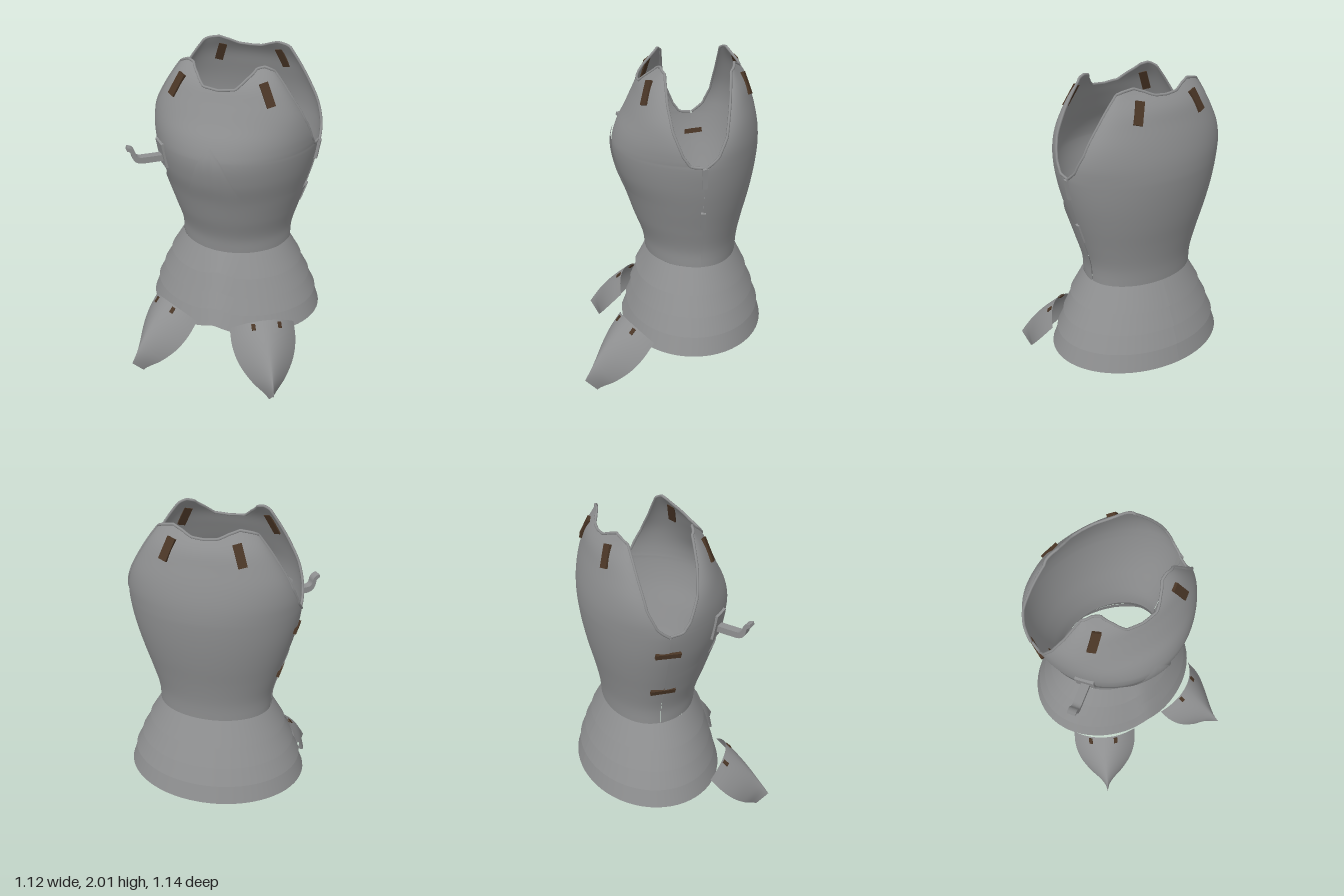
import * as THREE from 'three';

const steel = new THREE.MeshStandardMaterial({ color: 0x8e8f90, side: THREE.DoubleSide });
steel.name = 'steel';
const leather = new THREE.MeshStandardMaterial({ color: 0x4a3626 });
leather.name = 'brown leather';

const HALF = Math.PI / 2;
const clamp = THREE.MathUtils.clamp;
const lerp = THREE.MathUtils.lerp;

// Piecewise linear lookup through [t, value] pairs
function linear(pts) {
  return (t) => {
    if (t <= pts[0][0]) return pts[0][1];
    for (let i = 1; i < pts.length; i++) {
      const [a, va] = pts[i - 1], [b, vb] = pts[i];
      if (t <= b) return lerp(va, vb, (t - a) / (b - a));
    }
    return pts[pts.length - 1][1];
  };
}

// Torso sections: y, half width, front z, back z, front centre z, back centre z
const sections = [
  [0.80, 0.34, 0.165, -0.385, -0.15, -0.15],
  [0.90, 0.345, 0.18, -0.392, -0.15, -0.15],
  [1.05, 0.386, 0.235, -0.42, -0.15, -0.15],
  [1.20, 0.433, 0.285, -0.455, -0.15, -0.15],
  [1.35, 0.474, 0.342, -0.482, -0.15, -0.15],
  [1.50, 0.498, 0.366, -0.497, -0.145, -0.155],
  [1.60, 0.486, 0.34, -0.493, -0.08, -0.2],
  [1.70, 0.447, 0.288, -0.475, 0, -0.25],
  [1.80, 0.39, 0.24, -0.447, 0.04, -0.28],
  [1.90, 0.325, 0.19, -0.412, 0.052, -0.295],
  [2.00, 0.25, 0.09, -0.335, 0.06, -0.305],
];
const profile = new THREE.CubicInterpolant(
  sections.map((s) => s[0]), sections.flatMap((s) => s.slice(1)), 5, new Float32Array(5));

// Side edges of the plates, forming the armholes above y = 1.5
const frontEdge = linear([[1.497, -0.15], [1.507, -0.07], [1.56, -0.03], [1.69, 0.024], [1.82, 0.05], [2, 0.062]]);
const backEdge = linear([[1.497, -0.15], [1.507, -0.167], [1.55, -0.22], [1.66, -0.268], [1.82, -0.29], [2, -0.306]]);
// Upper edges, by angle from the centre line
const frontNeck = linear([[0, 1.87], [0.28, 1.88], [0.5, 1.93], [0.8, 1.98], [1.1, 1.99], [1.57, 1.965]]);
const backNeck = linear([[0, 1.95], [0.25, 1.955], [0.5, 1.98], [0.8, 2], [1.2, 1.99], [1.57, 1.975]]);
const waistTop = linear([[0, 1.585], [0.12, 1.52], [0.22, 1.4], [0.33, 1.28], [0.45, 1.24],
  [0.8, 1.235], [1.1, 1.22], [1.57, 1.185]]);

// Torso surface: u runs -1..1 from side edge to side edge
function torso(front, off) {
  return (u, y) => {
    const [w, f, b, cf, cb] = profile.evaluate(clamp(y, 0.8, 2));
    const c = front ? cf : cb;
    const d = front ? f + off : b - off;
    const e = front ? frontEdge(y) : backEdge(y);
    const a = u * Math.acos(clamp((e - c) / (d - c), 0, 1));
    return new THREE.Vector3((w + off) * Math.sin(a), y, c + (d - c) * Math.cos(a));
  };
}

// Grid surface from fn(u, v) over lists of u and v
function sheet(us, vs, fn) {
  const pos = [], idx = [], n = us.length;
  vs.forEach((v) => us.forEach((u) => pos.push(...fn(u, v).toArray())));
  for (let j = 0; j < vs.length - 1; j++) {
    for (let i = 0; i < n - 1; i++) {
      const a = j * n + i;
      idx.push(a, a + 1, a + n, a + 1, a + n + 1, a + n);
    }
  }
  const g = new THREE.BufferGeometry();
  g.setAttribute('position', new THREE.Float32BufferAttribute(pos, 3));
  g.setIndex(idx);
  g.computeVertexNormals();
  return g;
}

const range = (a, b, n) => Array.from({ length: n + 1 }, (_, i) => lerp(a, b, i / n));

export function createModel() {
  const model = new THREE.Group();
  const add = (name, geometry, material, parent = model) => {
    const m = new THREE.Mesh(geometry, material);
    m.name = name;
    parent.add(m);
    return m;
  };

  // Small block lying on a surface fn(u, v)
  const patch = (name, fn, u, v, size, material, tilt = 0) => {
    const e = 0.01;
    const du = fn(u + e, v).sub(fn(u - e, v));
    const dv = fn(u, v + e).sub(fn(u, v - e)).normalize();
    const n = du.cross(dv).normalize();
    const m = add(name, new THREE.BoxGeometry(...size), material);
    m.quaternion.setFromRotationMatrix(
      new THREE.Matrix4().makeBasis(new THREE.Vector3().crossVectors(dv, n), dv, n));
    m.rotateZ(tilt);
    m.position.copy(fn(u, v));
    return m;
  };

  // Breastplate and backplate with thin rolled rims
  const cols = range(-1, 1, 56);
  const upperRows = [1.497, 1.507, 1.53, ...range(1.56, 2, 16)];
  const makePlate = (name, front, off, bottom, neck) => {
    const surf = torso(front, off);
    const point = (u, y) => {
      const top = neck(Math.abs(u) * HALF);
      return surf(u, y < 1.56 ? y : 1.56 + (y - 1.56) * (top - 1.56) / 0.44);
    };
    add(name, sheet(cols, [...range(bottom, 1.48, 16), ...upperRows], point), steel);
    const rim = [
      ...upperRows.map((y) => point(-1, y)),
      ...cols.slice(1, -1).map((u) => point(u, 2)),
      ...upperRows.slice().reverse().map((y) => point(1, y)),
    ];
    add(name + 'Rim', new THREE.TubeGeometry(new THREE.CatmullRomCurve3(rim), 160, 0.008, 6), steel);
    return surf;
  };
  const breast = makePlate('breastplate', true, 0, 1.12, frontNeck);
  const back = makePlate('backplate', false, 0.006, 0.8, backNeck);

  // Pointed waist plate overlapping the breastplate
  const waist = torso(true, 0.011);
  add('waistPlate', sheet(range(-1, 1, 80), range(0, 1, 24),
    (u, v) => waist(u, lerp(0.8, waistTop(Math.abs(u) * HALF), v))), steel);

  // Skirt of four overlapping lames: [y, half width, front z, back z] at top and bottom
  const lames = [
    [[0.80, 0.342, 0.168, -0.39], [0.65, 0.43, 0.24, -0.465]],
    [[0.68, 0.402, 0.215, -0.438], [0.53, 0.485, 0.275, -0.51]],
    [[0.56, 0.46, 0.248, -0.485], [0.42, 0.53, 0.305, -0.545]],
    [[0.45, 0.508, 0.283, -0.528], [0.305, 0.56, 0.335, -0.568]],
  ];
  lames.forEach(([top, bottom], i) => {
    add('skirtLame' + (i + 1), sheet(range(-Math.PI, Math.PI, 64), range(0, 1, 4), (a, v) => {
      const [y, w, f, b] = top.map((t, k) => lerp(t, bottom[k], v));
      const x = w * Math.sin(a);
      const peak = Math.cos(a) > 0 ? 0.033 * Math.max(0, 1 - Math.abs(x) / 0.13) : 0;
      return new THREE.Vector3(x, y + peak * v, (f + b) / 2 + (f - b) / 2 * Math.cos(a));
    }), steel);
  });

  // Leaf-shaped thigh guards, arched at the top and folded to a ridge at the tip
  const halfWidth = new THREE.SplineCurve([[0, 0.206], [0.25, 0.203], [0.5, 0.172], [0.75, 0.105], [1, 0.012]]
    .map((p) => new THREE.Vector2(...p)));
  const sin = Math.sin(0.506), cos = Math.cos(0.506);
  [1, -1].forEach((side) => {
    const guard = (q, t) => {
      const bulge = 1 - Math.pow(Math.abs(q), lerp(2.1, 1.1, clamp(t, 0, 1)));
      const belly = 0.015 * Math.sin(Math.PI * t);
      const s = 0.3 * t + (0.075 + belly) * bulge;
      const w = q * halfWidth.getPoint(clamp(t, 0, 1)).y;
      return new THREE.Vector3(side * (0.29 + s * sin + w * cos),
        0.35 - 0.35 * t + (0.09 + belly) * bulge, 0.24 + s * cos - w * sin);
    };
    const label = side > 0 ? 'left' : 'right';
    add(label + 'ThighGuard', sheet(range(-1, 1, 28), range(0, 1, 18), guard), steel);
    [-0.35, 0.45].forEach((q) =>
      patch(label + 'ThighStrap', guard, q, 0.07, [0.024, 0.04, 0.012], leather));
    // Shoulder strap ends
    patch(label + 'FrontShoulderStrap', breast, side * 0.55, 1.857, [0.05, 0.14, 0.02], leather);
    patch(label + 'BackShoulderStrap', back, side * 0.4, 1.885, [0.05, 0.13, 0.02], leather);
  });

  // Side closures: straps on the right, hinges on the left
  [[1.37, 0.12], [1.07, 0.1]].forEach(([y, tilt]) =>
    patch('sideStrap', back, -0.99, y, [0.15, 0.03, 0.018], leather, tilt));
  [1.435, 1.14].forEach((y) => patch('sideHinge', back, 1, y, [0.03, 0.125, 0.02], steel));

  // Hooked rest on the right of the chest
  patch('restPlate', breast, -0.53, 1.43, [0.11, 0.16, 0.018], steel);
  const hook = new THREE.Shape();
  hook.moveTo(-0.02, -0.02);
  hook.lineTo(0.14, -0.02);
  hook.quadraticCurveTo(0.195, -0.015, 0.2, 0.045);
  hook.quadraticCurveTo(0.203, 0.065, 0.225, 0.07);
  hook.lineTo(0.22, 0.09);
  hook.quadraticCurveTo(0.178, 0.085, 0.175, 0.045);
  hook.quadraticCurveTo(0.17, 0.018, 0.135, 0.018);
  hook.lineTo(-0.02, 0.018);
  const rest = add('restHook',
    new THREE.ExtrudeGeometry(hook, { depth: 0.05, bevelEnabled: false }).translate(0, 0, -0.025), steel);
  rest.rotation.y = Math.PI + 0.6435;
  rest.position.set(-0.35, 1.41, 0.19);

  return model;
}
